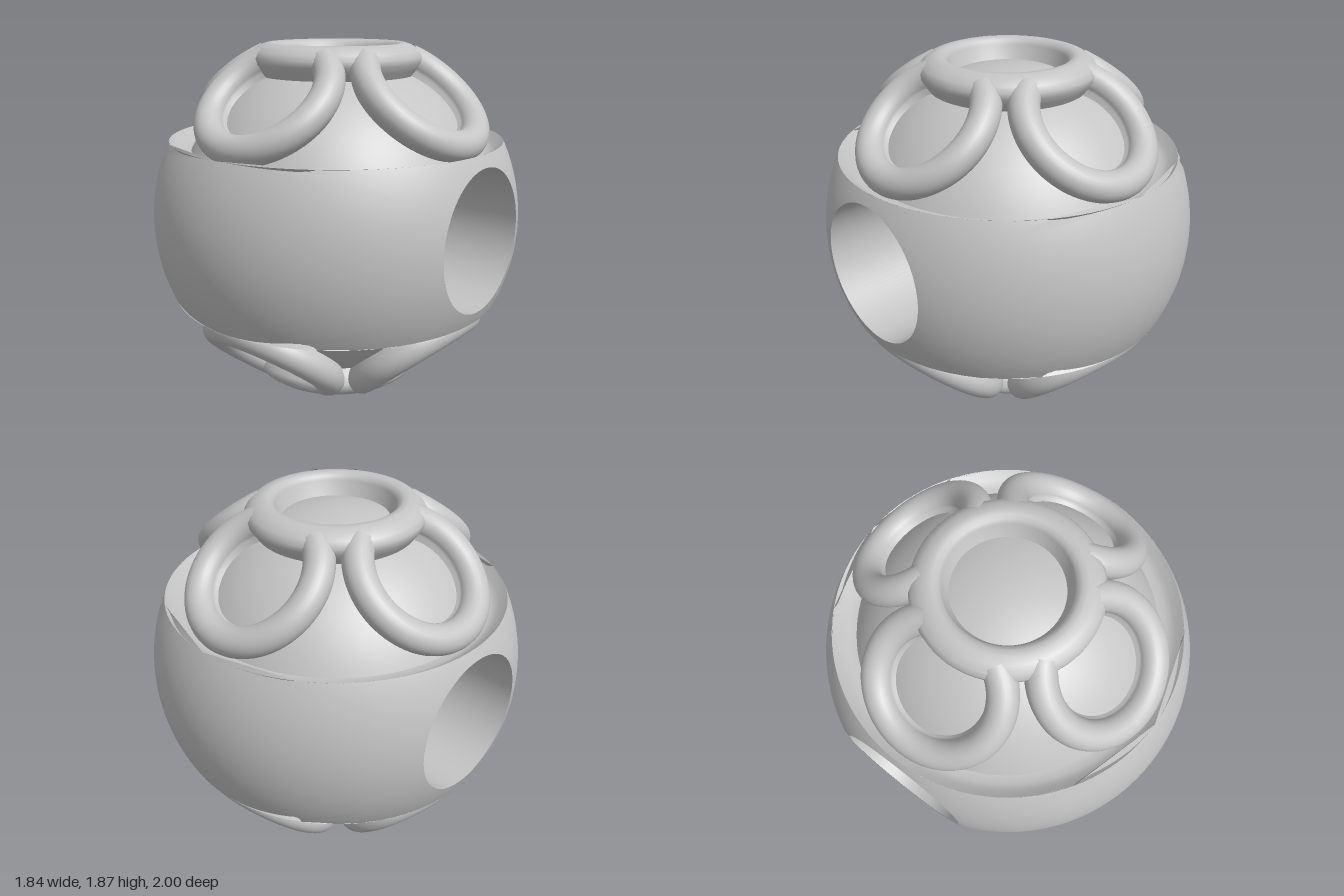
import * as THREE from 'three';

const CENTRE_Y = 0.935; // middle of the bead
const HOLE = 0.37;      // bore radius
const FLAT = 0.92;      // flat faces around the bore
const BAND = 0.433;     // half height of the smooth band
const CORE = 0.87;      // radius of the sunken dome

const silver = new THREE.MeshStandardMaterial({ color: 0xc4c4c4, side: THREE.DoubleSide });
silver.name = 'silver';

function addMesh(parent, name, geometry) {
  const mesh = new THREE.Mesh(geometry, silver);
  mesh.name = name;
  parent.add(mesh);
  return mesh;
}

const lathe = (points, segments = 96, start = 0, length = Math.PI * 2) =>
  new THREE.LatheGeometry(points.map(([r, y]) => new THREE.Vector2(r, y)), segments, start, length);

// Half of the spherical band, spreading from the bore to the x = 0 plane
function bandHalfGeometry() {
  const corner = Math.acos(BAND);
  const stops = [-corner, corner, Math.PI - corner, Math.PI + corner, 2 * Math.PI - corner];
  const angles = [];
  for (let s = 0; s < 4; s++)
    for (let i = 0; i < 32; i++) angles.push(stops[s] + (stops[s + 1] - stops[s]) * i / 32);
  const rows = 24, positions = [], normals = [], index = [];
  angles.forEach((phi, i) => {
    const limit = Math.min(1, BAND / Math.max(Math.abs(Math.cos(phi)), 1e-6));
    const t0 = Math.asin(HOLE), t1 = Math.asin(limit);
    for (let j = 0; j <= rows; j++) {
      const t = t0 + (t1 - t0) * j / rows;
      const y = Math.sin(t) * Math.cos(phi), z = Math.sin(t) * Math.sin(phi);
      positions.push(Math.min(FLAT, Math.cos(t)), y, z);
      normals.push(Math.cos(t), y, z);
      if (j === rows) continue;
      const a = i * (rows + 1) + j;
      const b = ((i + 1) % angles.length) * (rows + 1) + j;
      index.push(a, a + 1, b, a + 1, b + 1, b);
    }
  });
  const geometry = new THREE.BufferGeometry();
  geometry.setAttribute('position', new THREE.Float32BufferAttribute(positions, 3));
  geometry.setAttribute('normal', new THREE.Float32BufferAttribute(normals, 3));
  geometry.setIndex(index);
  return geometry;
}

// Dome, groove, rim ring and four petals for one end
function createCap() {
  const cap = new THREE.Group();
  const low = Math.asin(0.376 / CORE);
  const dome = [];
  for (let i = 0; i <= 24; i++) {
    const a = low + (Math.PI / 2 - low) * i / 24;
    dome.push([Math.max(0, CORE * Math.cos(a)), CORE * Math.sin(a)]);
  }
  addMesh(cap, 'dome', lathe(dome));
  const rim = Math.sqrt(1 - BAND * BAND);
  addMesh(cap, 'groove', lathe([[rim, BAND], [0.86, 0.395], [0.825, 0.378], [0.784, 0.376]]));

  // Flat-topped ring around the central recess
  addMesh(cap, 'centreRing', lathe([
    [0.40, 0.75], [0.435, 0.80], [0.458, 0.835], [0.462, 0.865], [0.445, 0.895], [0.41, 0.922],
    [0.37, 0.935], [0.34, 0.934], [0.318, 0.92], [0.307, 0.90], [0.295, 0.86], [0.265, 0.80],
  ]));

  // Raised petal loop, left open where it runs into the centre ring
  const profile = [[0.36, -0.08]];
  for (let i = 0; i <= 16; i++) {
    const a = THREE.MathUtils.degToRad(-45 + 235 * i / 16);
    profile.push([0.33 + 0.077 * Math.cos(a), 0.077 * Math.sin(a)]);
  }
  profile.push([0.22, -0.06]);
  const gap = 0.61;
  const petalGeometry = lathe(profile, 72, gap - Math.PI, 2 * (Math.PI - gap));
  for (let i = 0; i < 4; i++) {
    const arm = new THREE.Group();
    arm.name = 'petal';
    arm.rotation.y = i * Math.PI / 2;
    const loop = addMesh(arm, 'petalLoop', petalGeometry);
    loop.position.set(0, 0.68, 0.54);
    loop.rotation.x = 0.705;
    cap.add(arm);
  }
  return cap;
}

export function createModel() {
  const model = new THREE.Group();
  model.name = 'bead';
  const body = new THREE.Group();
  body.name = 'body';
  body.position.y = CENTRE_Y;
  model.add(body);

  // Smooth band in two halves
  const half = bandHalfGeometry();
  addMesh(body, 'leftBand', half);
  addMesh(body, 'rightBand', half).rotation.y = Math.PI;

  // Bore through the middle
  const bore = new THREE.CylinderGeometry(HOLE, HOLE, FLAT * 2, 96, 1, true);
  addMesh(body, 'bore', bore).rotation.z = Math.PI / 2;

  // Matching ornaments on both ends
  const top = createCap();
  top.name = 'topCap';
  const bottom = createCap();
  bottom.name = 'bottomCap';
  bottom.rotation.x = Math.PI;
  body.add(top, bottom);
  return model;
}
